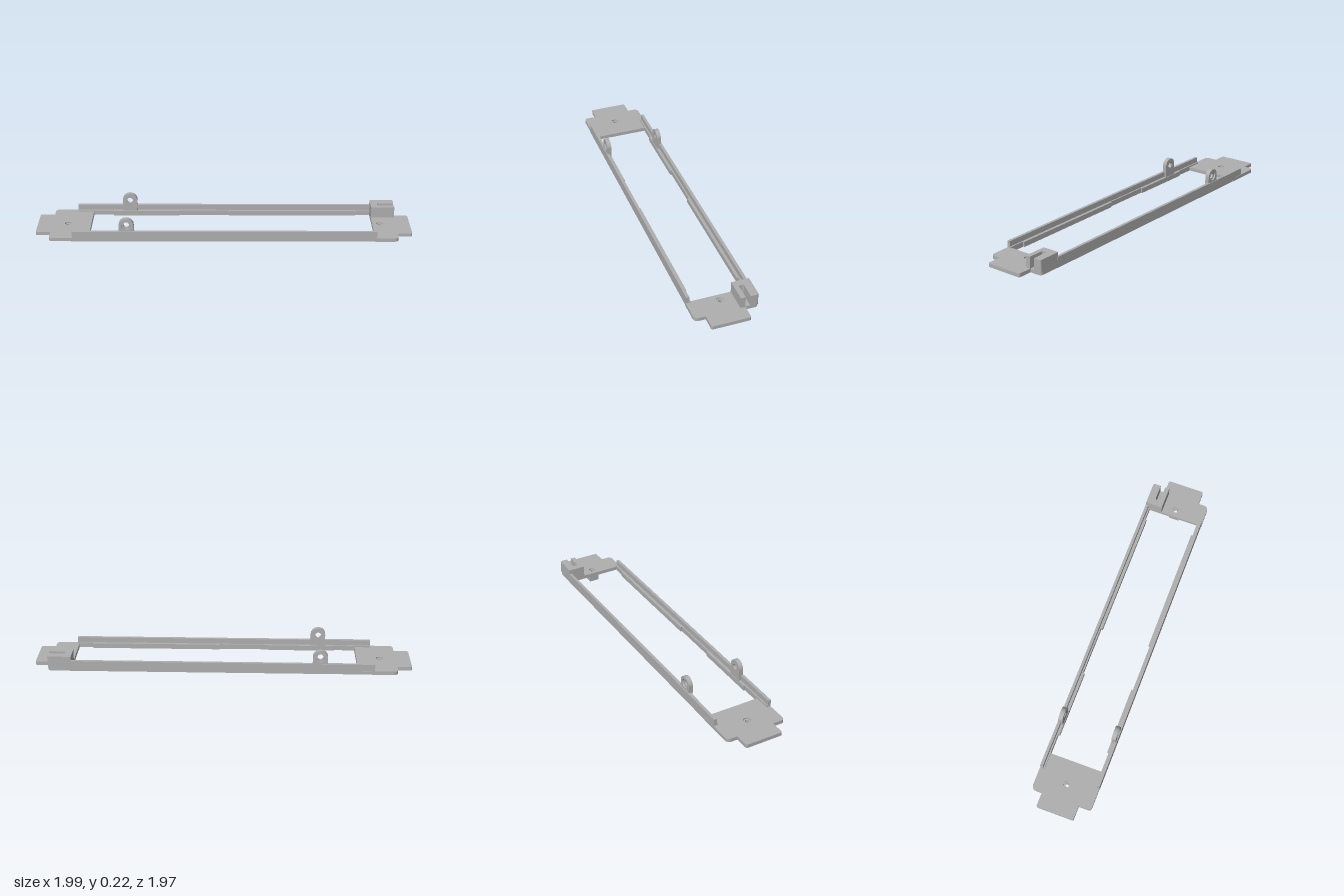
import * as THREE from 'three';

const grey = new THREE.MeshStandardMaterial({ color: 0xb0b0b0 });
grey.name = 'grey plastic';

// Closed polygon with rounded corners; each point is [x, y, radius]
function roundedShape(points) {
  const s = new THREE.Shape();
  const n = points.length;
  points.forEach(([x, y, r = 0], i) => {
    const p = new THREE.Vector2(x, y);
    const toward = (q) => new THREE.Vector2(q[0], q[1]).sub(p).normalize().multiplyScalar(r).add(p);
    const a = toward(points[(i + n - 1) % n]);
    const b = toward(points[(i + 1) % n]);
    if (i === 0) s.moveTo(a.x, a.y); else s.lineTo(a.x, a.y);
    if (r > 0) s.quadraticCurveTo(x, y, b.x, b.y);
  });
  s.closePath();
  return s;
}

function addHole(shape, x, y, r) {
  const h = new THREE.Path();
  h.absarc(x, y, r, 0, Math.PI * 2, true);
  shape.holes.push(h);
  return shape;
}

// Horizontal slab: shape drawn in plan, filling y0 to y1
function slab(shape, y0, y1) {
  const g = new THREE.ExtrudeGeometry(shape, { depth: y1 - y0, bevelEnabled: false, curveSegments: 12 });
  return g.rotateX(Math.PI / 2).translate(0, y1, 0);
}

export function createModel() {
  const root = new THREE.Group();
  root.name = 'mountingFrame';
  const frame = new THREE.Group(); // long axis on local x, turned diagonally
  frame.name = 'diagonalFrame';
  frame.rotation.y = Math.PI / 4;
  root.add(frame);

  const add = (name, geometry) => {
    const m = new THREE.Mesh(geometry, grey);
    m.name = name;
    frame.add(m);
    return m;
  };
  const box = (name, x0, x1, y0, y1, z0, z1) =>
    add(name, new THREE.BoxGeometry(x1 - x0, y1 - y0, z1 - z0)
      .translate((x0 + x1) / 2, (y0 + y1) / 2, (z0 + z1) / 2));

  // End plates with a stepped tab and a countersunk screw hole
  for (const [name, e, inner] of [['highEndPlate', 1, 1.02], ['lowEndPlate', -1, 0.91]]) {
    const outline = [
      [inner, -0.208], [1.178, -0.208, 0.025], [1.178, -0.122], [1.277, -0.122, 0.012],
      [1.277, 0.138, 0.012], [1.178, 0.138], [1.178, 0.212, 0.035], [inner, 0.212],
    ].map(([x, z, r]) => [x * e, z * e, r]);
    const layer = (r) => addHole(roundedShape(outline), 1.07 * e, 0, r);
    add(name, slab(layer(0.013), 0.05, 0.066));
    add(name + 'Top', slab(layer(0.024), 0.066, 0.075));

    // Clip foot under the plate: channel open towards the end
    const c = [[1.036, -0.036], [1.106, -0.036], [1.106, -0.02], [1.056, -0.02],
      [1.056, 0.02], [1.106, 0.02], [1.106, 0.036], [1.036, 0.036]]
      .map(([x, z]) => [x * e, z * e]);
    add('clipFoot', slab(roundedShape(c), 0, 0.052));
  }

  for (const s of [-1, 1]) {
    const side = s > 0 ? 'left' : 'right';
    const strip = (name, x0, x1, y0, y1, a, b) =>
      box(side + name, x0, x1, y0, y1, Math.min(a * s, b * s), Math.max(a * s, b * s));

    // Rail: tall outer wall, low inner ledge with wider stretches
    strip('RailWall', -1.02, 1.03, 0.05, 0.122, 0.19, 0.21);
    strip('RailLedge', -1.02, 1.03, 0.05, 0.085, 0.18, 0.191);
    strip('RailPad', 0.035, 0.92, 0.05, 0.085, 0.17, 0.181);
    strip('RailPad', -0.77, -0.31, 0.05, 0.085, 0.17, 0.181);

    // Upright pivot lug, counterbored on the outer face
    const lug = (r) => {
      const sh = new THREE.Shape();
      sh.moveTo(-0.704, 0.06);
      sh.lineTo(-0.604, 0.06);
      sh.lineTo(-0.604, 0.165);
      sh.absarc(-0.654, 0.165, 0.05, 0, Math.PI, false);
      sh.closePath();
      return addHole(sh, -0.654, 0.165, r);
    };
    const lugLayer = (name, r, a, b) => {
      const g = new THREE.ExtrudeGeometry(lug(r), { depth: b - a, bevelEnabled: false, curveSegments: 16 });
      add(side + name, g.translate(0, 0, s > 0 ? a : -b));
    };
    lugLayer('LugInner', 0.02, 0.174, 0.192);
    lugLayer('LugOuter', 0.032, 0.192, 0.204);
  }

  // Corner holder block with a slot open at the end
  const holder = roundedShape([
    [1.02, -0.209], [1.18, -0.209, 0.012], [1.18, -0.155], [1.065, -0.155, 0.012],
    [1.065, -0.122, 0.012], [1.18, -0.122], [1.18, -0.09], [1.02, -0.09],
  ]);
  add('cornerHolder', slab(holder, 0.07, 0.153));

  return root;
}
